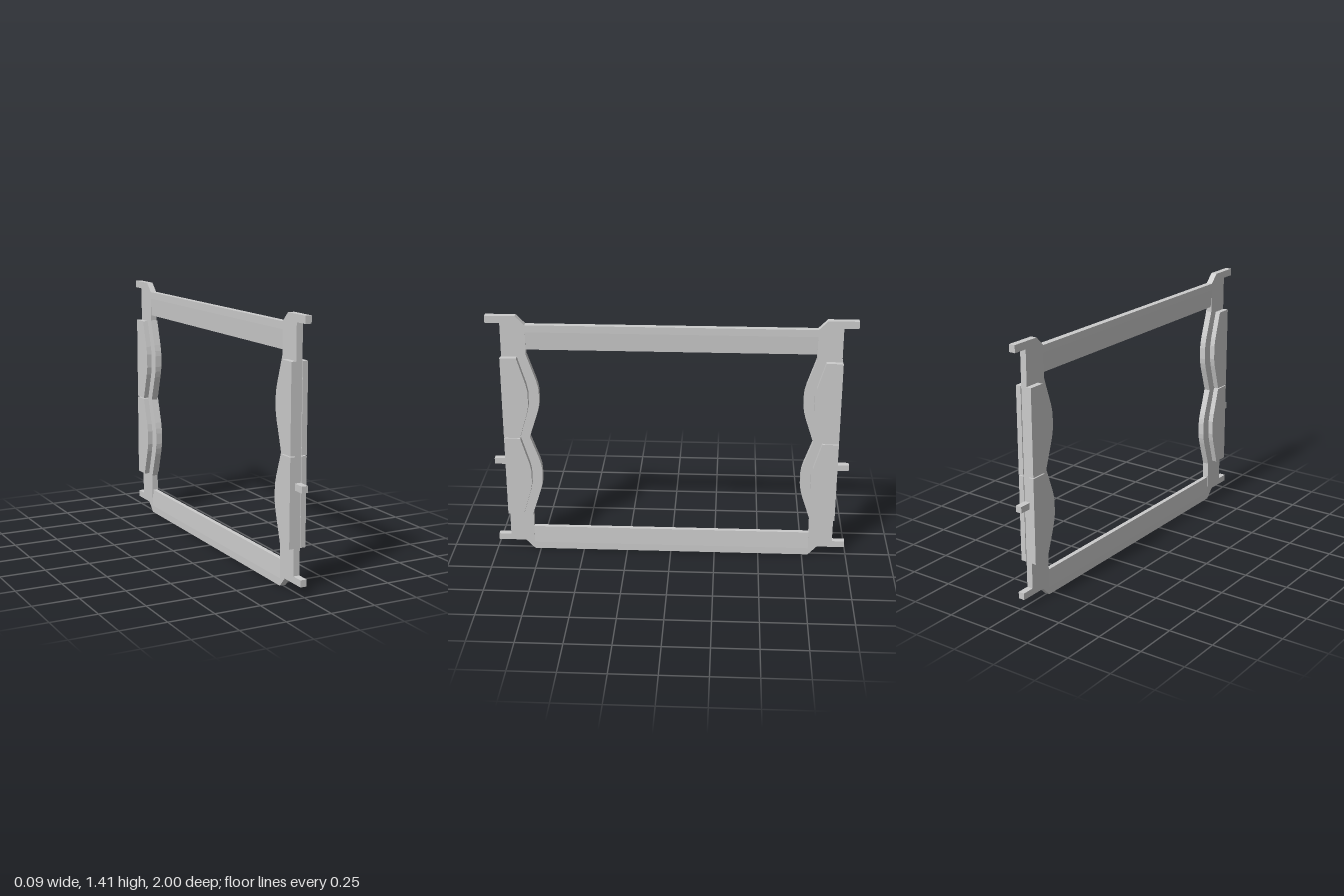
import * as THREE from 'three';

const HALF = 0.0175;  // half thickness of the frame
const PAD = 0.047;    // outer face of the pads
const PITCH = 0.475;  // vertical spacing of the two pads on each upright

export function createModel() {
  const root = new THREE.Group();
  root.name = 'frame';
  const material = new THREE.MeshStandardMaterial({ color: 0xcccccc, flatShading: true });

  const add = (geometry, name) => {
    const mesh = new THREE.Mesh(geometry, material);
    mesh.name = name;
    root.add(mesh);
  };

  // Extrudes a (z, y) outline from x0 to x1; side = -1 mirrors it in z
  const plate = (points, side, x0, x1) => {
    const shape = new THREE.Shape(points.map(([z, y]) => new THREE.Vector2(z * side, y)));
    const geometry = new THREE.ExtrudeGeometry(shape, { depth: x1 - x0, bevelEnabled: false });
    return geometry.rotateY(-Math.PI / 2).translate(x1, 0, 0);
  };

  // Rails: (x, y) cross-sections that thin towards the opening
  const rail = (outer, knee, inner, name) => {
    const thin = 0.0125;
    const shape = new THREE.Shape([
      [-HALF, outer], [HALF, outer], [HALF, knee], [thin, inner], [-thin, inner], [-HALF, knee],
    ].map(([x, y]) => new THREE.Vector2(x, y)));
    const geometry = new THREE.ExtrudeGeometry(shape, { depth: 1.57, bevelEnabled: false });
    add(geometry.translate(0, 0, -0.785), name);
  };
  rail(1.36, 1.32, 1.22, 'topRail');
  rail(0, 0.04, 0.14, 'bottomRail');

  // One bulge of the inner edge, bottom to top
  const bulge = [
    [0.785, 0.705], [0.737, 0.85], [0.728, 0.885], [0.724, 0.915],
    [0.724, 0.98], [0.728, 1.01], [0.737, 1.045], [0.785, 1.19],
  ];
  const lowered = (points) => points.map(([z, y]) => [z, y - PITCH]);

  // Upright with its three lugs and the wavy inner edge
  const upright = [
    [0.785, 0], [0.835, 0.053], [0.99, 0.053], [0.99, 0.09], [0.92, 0.09],
    [0.92, 0.535], [0.99, 0.535], [0.99, 0.57], [0.92, 0.57],
    [0.92, 1.37], [1, 1.37], [1, 1.41], [0.835, 1.41], [0.785, 1.36],
    ...bulge.slice().reverse(),
    ...lowered(bulge).reverse().slice(1),
  ];

  // Pad following the bulge
  const pad = [
    [0.925, 0.71], [0.925, 1.18], [0.835, 1.18], [0.79, 1.03], [0.781, 0.985],
    [0.781, 0.905], [0.79, 0.86], [0.835, 0.71],
  ];

  for (const [side, end] of [[1, 'front'], [-1, 'back']]) {
    add(plate(upright, side, -HALF, HALF), end + 'Upright');
    for (const [points, level] of [[pad, 'Upper'], [lowered(pad), 'Lower']]) {
      add(plate(points, side, HALF, PAD), end + level + 'LeftPad');
      add(plate(points, side, -PAD, -HALF), end + level + 'RightPad');
    }
  }
  return root;
}
